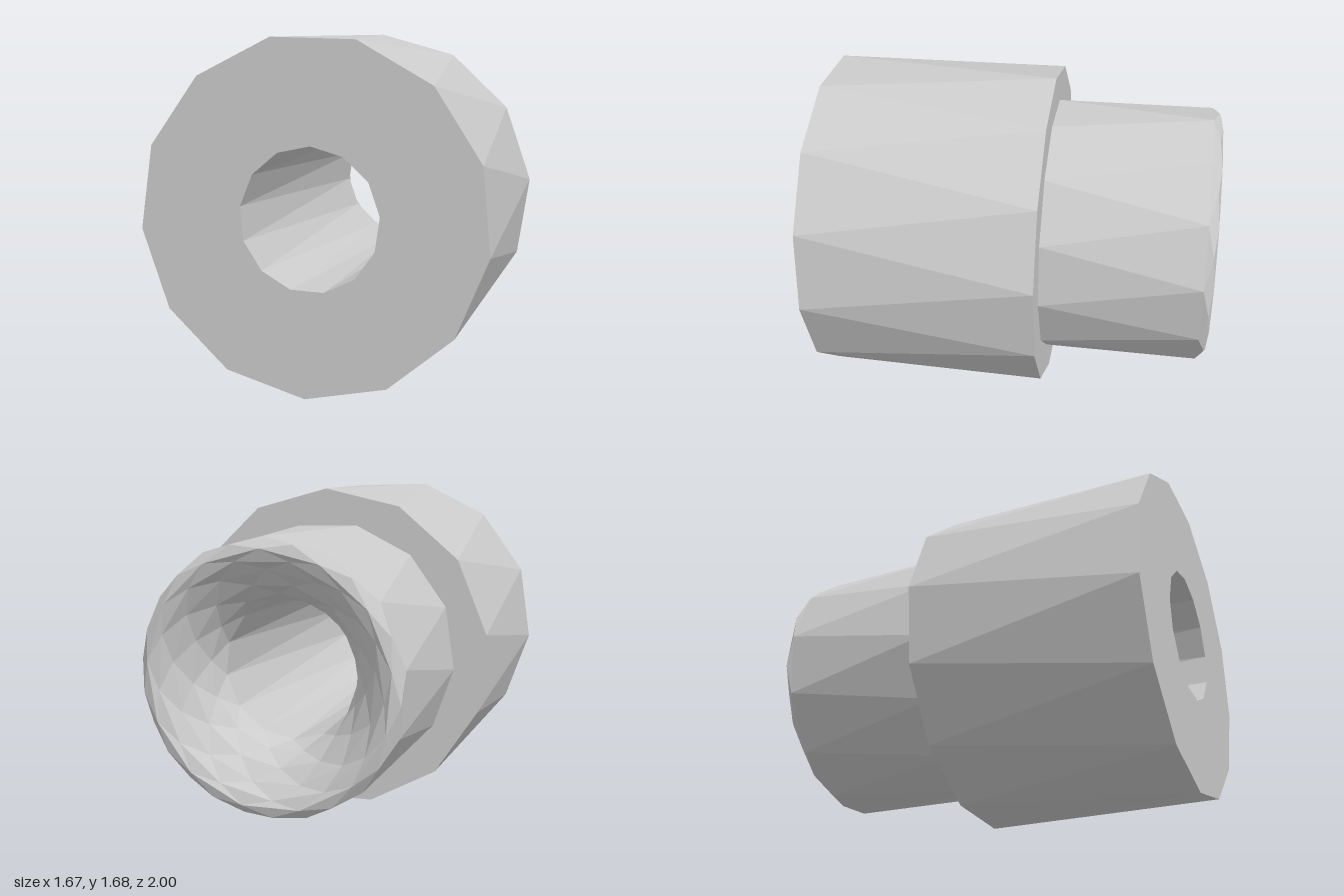
import * as THREE from 'three';

const SIDES = 13;
const STEP = (Math.PI * 2) / SIDES;
const CENTRE_Y = 0.838;
const START = 0.09;

// Faceted skin through [radius, z] rings; each ring is turned half a step from the last
function loft(name, rings, turn, material) {
  const point = (i, k) => {
    const [r, z] = rings[i];
    const a = START + (k + (turn + i) / 2) * STEP;
    return [r * Math.cos(a), CENTRE_Y + r * Math.sin(a), z];
  };
  const positions = [];
  for (let i = 0; i < rings.length - 1; i++) {
    for (let k = 0; k < SIDES; k++) {
      positions.push(...point(i, k), ...point(i + 1, k), ...point(i, k + 1));
      positions.push(...point(i, k + 1), ...point(i + 1, k), ...point(i + 1, k + 1));
    }
  }
  const geometry = new THREE.BufferGeometry();
  geometry.setAttribute('position', new THREE.Float32BufferAttribute(positions, 3));
  geometry.computeVertexNormals();
  const mesh = new THREE.Mesh(geometry, material);
  mesh.name = name;
  return mesh;
}

export function createModel() {
  const group = new THREE.Group();
  group.name = 'steppedBushing';
  const material = new THREE.MeshStandardMaterial({ color: 0xcccccc, flatShading: true });

  // Parts in order along the profile, each starting on the last ring of the one before
  const parts = [
    // Front face, wide barrel and the step behind it
    ['body', [[0.336, 1], [0.838, 1], [0.838, -0.16], [0.668, -0.16]]],
    // Narrow rear collar with a rounded outer edge
    ['collar', [[0.668, -0.16], [0.662, -0.95], [0.645, -0.985], [0.61, -1]]],
    // Funnel easing from the rear lip into the bore
    ['flaredMouth', [[0.61, -1], [0.565, -0.98], [0.51, -0.93], [0.44, -0.87], [0.38, -0.79], [0.345, -0.7]]],
    // Straight through hole
    ['bore', [[0.345, -0.7], [0.336, 1]]],
  ];

  let turn = 0;
  for (const [name, rings] of parts) {
    group.add(loft(name, rings, turn, material));
    turn += rings.length - 1;
  }
  return group;
}
